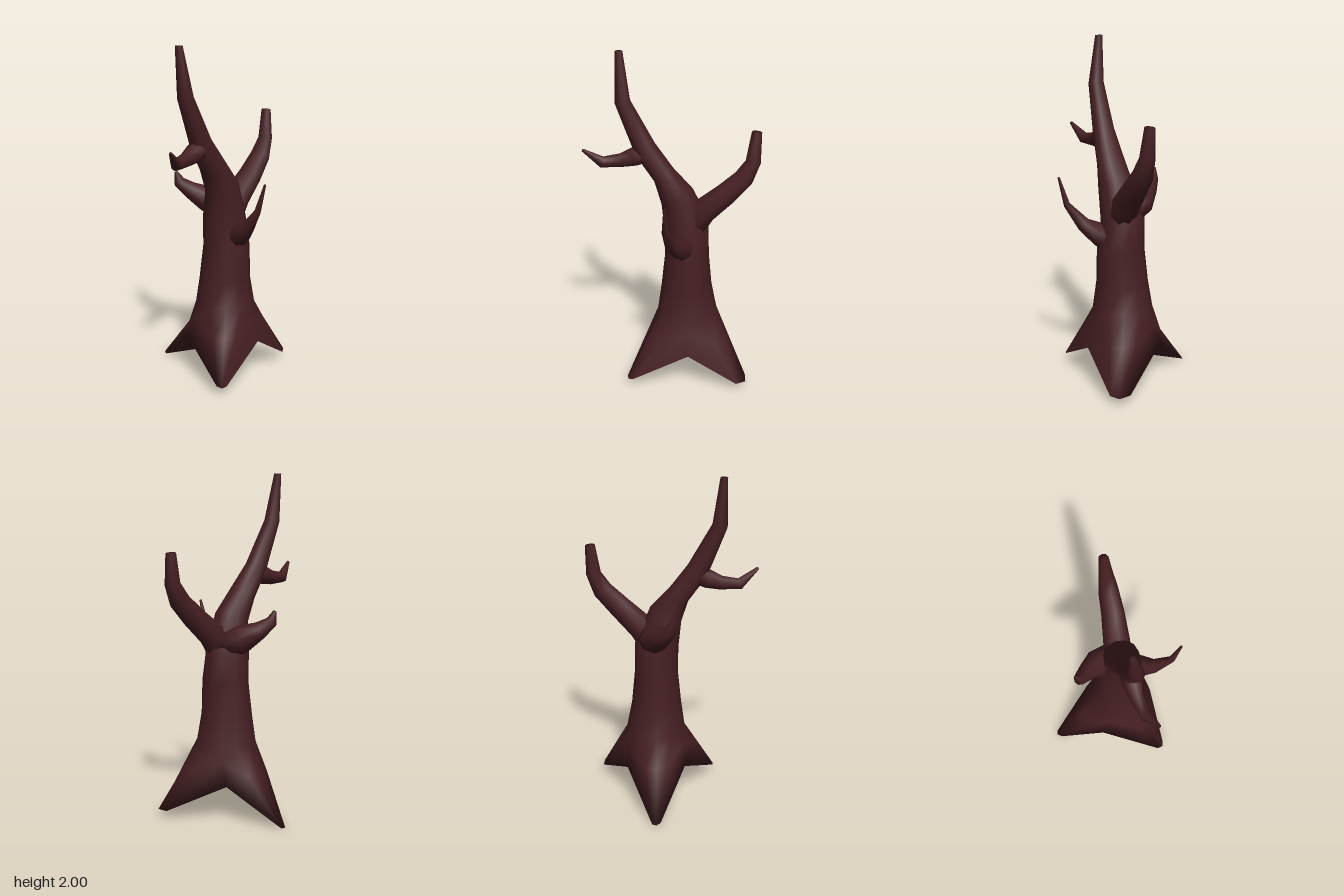
import * as THREE from 'three';

const V = (p) => new THREE.Vector3(p[0], p[1], p[2]);

// Ring of n points around c, perpendicular to dir; ref fixes its orientation.
function ring(c, dir, rx, rz, n, ref) {
  const d = dir.clone().normalize();
  const u = ref.clone().addScaledVector(d, -ref.dot(d)).normalize();
  const v = u.clone().cross(d);
  return Array.from({ length: n }, (_, j) => {
    const a = (j / n) * Math.PI * 2;
    return c.clone().addScaledVector(u, rx * Math.cos(a)).addScaledVector(v, rz * Math.sin(a));
  });
}

const centreOf = (r) => r.reduce((s, p) => s.add(p), new THREE.Vector3()).divideScalar(r.length);

// Skin a list of rings and close both ends with fans.
function loft(rings, first = centreOf(rings[0])) {
  const n = rings[0].length;
  const last = rings.length - 1;
  const points = [...rings.flat(), first, centreOf(rings[last])];
  const iFirst = rings.length * n, iEnd = iFirst + 1;
  const index = [];
  for (let j = 0; j < n; j++) {
    const k = (j + 1) % n;
    for (let i = 0; i < last; i++) {
      const a = i * n + j, b = i * n + k, c = a + n, d = b + n;
      index.push(a, c, b, b, c, d);
    }
    index.push(iFirst, j, k, iEnd, last * n + k, last * n + j);
  }
  const g = new THREE.BufferGeometry().setFromPoints(points);
  g.setIndex(index);
  g.computeVertexNormals();
  return g;
}

// Tapered limb through stations [x, y, z, radius].
function limbRings(stations, n) {
  const pts = stations.map(V);
  const span = pts[pts.length - 1].clone().sub(pts[0]).normalize();
  const ref = Math.abs(span.x) > 0.5 ? new THREE.Vector3(0, 0, 1) : new THREE.Vector3(1, 0, 0);
  return pts.map((p, i) => {
    const dir = pts[Math.min(i + 1, pts.length - 1)].clone().sub(pts[Math.max(i - 1, 0)]);
    return ring(p, dir, stations[i][3], stations[i][3], n, ref);
  });
}

export function createModel() {
  const model = new THREE.Group();
  model.name = 'deadTree';
  const bark = new THREE.MeshStandardMaterial({ color: 0x451f22, side: THREE.DoubleSide });
  const add = (name, geometry) => {
    const m = new THREE.Mesh(geometry, bark);
    m.name = name;
    model.add(m);
  };

  // Foot outline: three spread roots with a raised arch between each pair
  const foot = [
    [0.288, 0.23, -0.09],
    [0.25, 0.055, 0.24], [0.235, 0.05, 0.268], [0.2, 0.055, 0.268],
    [-0.12, 0.24, 0.075],
    [-0.37, 0, -0.075], [-0.395, 0, -0.1], [-0.385, 0, -0.125],
    [-0.1, 0.225, -0.275],
    [0.22, 0.05, -0.445], [0.29, 0.045, -0.44], [0.315, 0.045, -0.38],
  ].map(V);

  // Trunk stations: x, y, z, half width, half depth, lean in z
  const trunk = [
    [0.05, 0.44, -0.1, 0.177, 0.177, 0],
    [0.05, 0.6, -0.095, 0.153, 0.15, 0],
    [0.06, 0.8, -0.095, 0.142, 0.13, 0],
    [0.045, 0.98, -0.092, 0.126, 0.13, 0.1],
    [0.06, 1.17, -0.037, 0.1, 0.102, 0.5],
    [0.045, 1.3, 0.04, 0.085, 0.068, 0.75],
    [0.025, 1.45, 0.145, 0.064, 0.066, 0.65],
    [0, 1.72, 0.267, 0.046, 0.044, 0.25],
    [-0.03, 1.997, 0.282, 0.021, 0.021, 0.03],
  ].map(([x, y, z, rx, rz, lean]) =>
    ring(V([x, y, z]), new THREE.Vector3(0, 1, lean), rx, rz, 12, new THREE.Vector3(1, 0, 0)));

  // Flare between foot and trunk, slightly hollowed on the long root
  const flare = foot.map((p, j) => {
    const q = p.clone().lerp(trunk[0][j], 0.6);
    if (p.x < -0.3) q.x += 0.035;
    return q;
  });
  // The underside fans out from just inside the arch opposite the long root
  add('trunkAndRoots', loft([foot, flare, ...trunk], V([0.27, 0.225, -0.09])));

  // Side limbs, each rooted inside the trunk
  const limbs = {
    backBranch: [
      [0.07, 0.95, -0.1, 0.08], [0.08, 1.08, -0.18, 0.082], [0.108, 1.195, -0.305, 0.07],
      [0.122, 1.3, -0.408, 0.06], [0.128, 1.4, -0.458, 0.044], [0.123, 1.573, -0.473, 0.029],
    ],
    rightBranch: [
      [0.04, 1.02, -0.12, 0.09], [-0.075, 1.065, -0.1, 0.082],
      [-0.165, 1.12, -0.05, 0.052], [-0.218, 1.17, -0.012, 0.036], [-0.236, 1.232, -0.005, 0.01],
    ],
    leftBranch: [
      [0.06, 0.82, -0.1, 0.05], [0.17, 0.89, -0.055, 0.07], [0.25, 0.95, 0.005, 0.042],
      [0.335, 1.07, 0.045, 0.02], [0.383, 1.235, 0.05, 0.007],
    ],
    frontTwig: [
      [0.025, 1.43, 0.14, 0.06], [0.015, 1.4, 0.21, 0.056], [0.01, 1.38, 0.28, 0.042],
      [0.015, 1.372, 0.39, 0.034], [0.045, 1.456, 0.495, 0.009],
    ],
  };
  for (const [name, stations] of Object.entries(limbs)) add(name, loft(limbRings(stations, 8)));

  return model;
}
